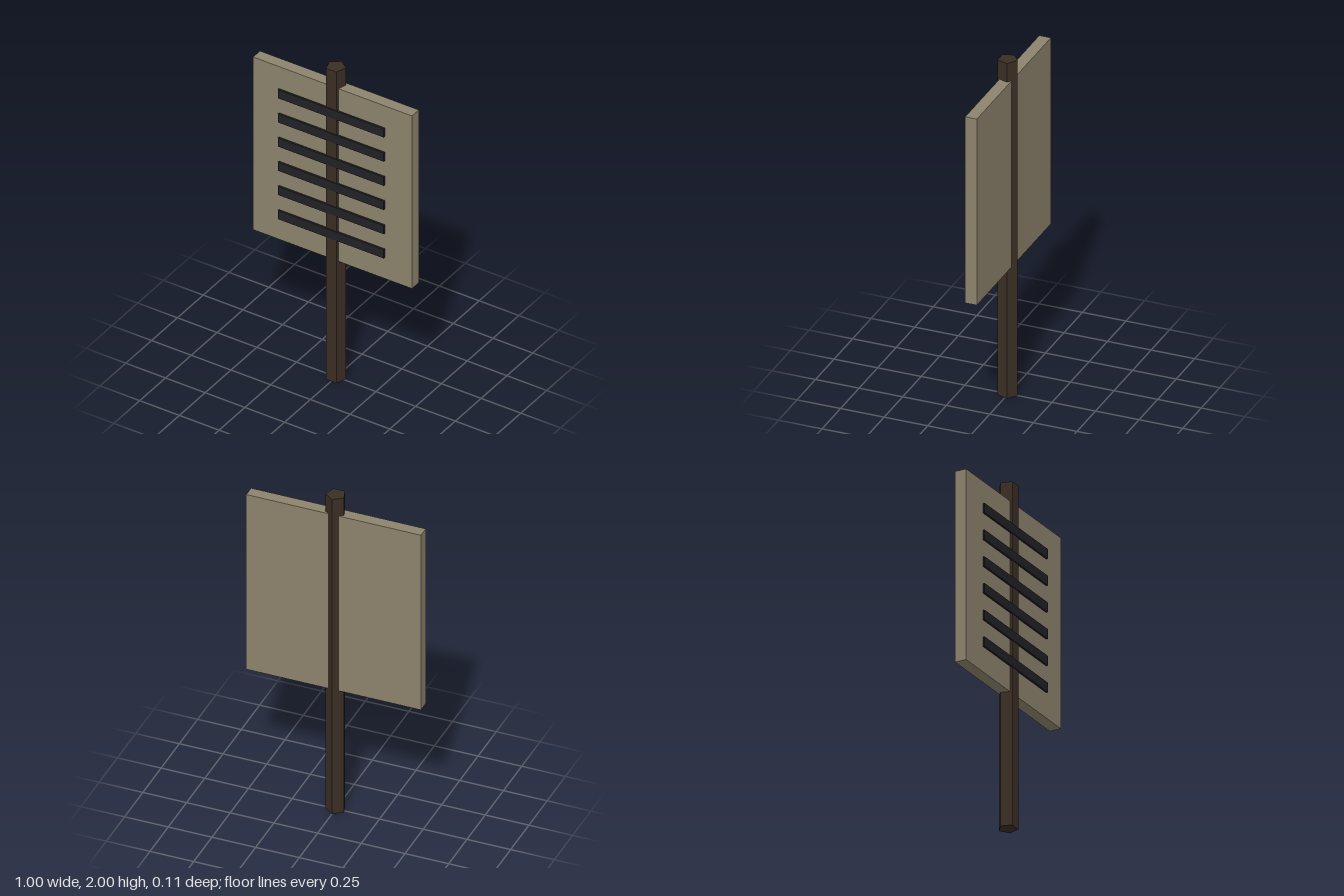
import * as THREE from 'three';

export function createModel() {
  const group = new THREE.Group();
  const material = (color) => new THREE.MeshStandardMaterial({ color, flatShading: true });
  const wood = material(0x3a2e24);
  const panel = material(0x8c836c);
  const dark = material(0x212126);

  const add = (name, geometry, mat, y, z) => {
    const mesh = new THREE.Mesh(geometry, mat);
    mesh.name = name;
    mesh.position.set(0, y, z);
    group.add(mesh);
    return mesh;
  };

  // Five-sided post with a flat face forward and an edge at the back
  const post = add('post', new THREE.CylinderGeometry(0.0556, 0.0556, 2, 5), wood, 1, 0.0028);
  post.rotation.y = Math.PI;

  // Board that the post runs through
  add('board', new THREE.BoxGeometry(1, 1.111, 0.0667), panel, 1.3333, 0.002);

  // Six evenly spaced bars across the front
  const barGeometry = new THREE.BoxGeometry(0.6667, 0.0556, 0.0111);
  for (let i = 0; i < 6; i++) {
    add(`bar${i + 1}`, barGeometry, dark, 1.725 - i * 0.1556, 0.0472);
  }

  return group;
}
